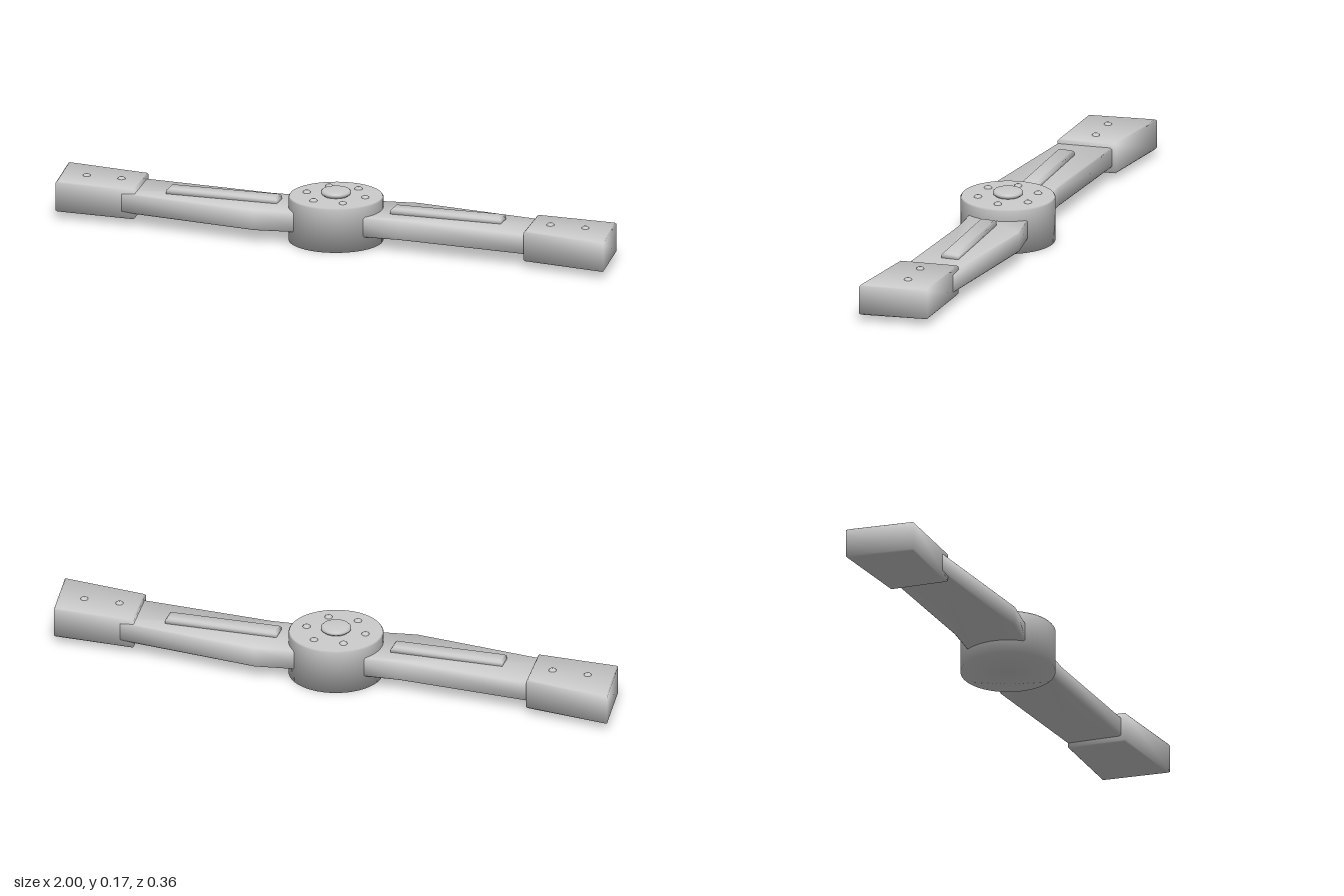
import * as THREE from 'three';
import { mergeVertices } from 'three/addons/utils/BufferGeometryUtils.js';

const steel = new THREE.MeshStandardMaterial({ color: 0xcccccc });
steel.name = 'light steel grey';

function add(parent, name, geometry, x = 0, y = 0, z = 0) {
  const mesh = new THREE.Mesh(geometry, steel);
  mesh.name = name;
  mesh.position.set(x, y, z);
  parent.add(mesh);
  return mesh;
}

// Soft shading: each vertex takes the plain average of its face normals, whatever their size
function soften(geometry) {
  const { position } = geometry.attributes;
  const index = geometry.index;
  const sums = Array.from({ length: position.count }, () => new THREE.Vector3());
  const triangle = new THREE.Triangle();
  const normal = new THREE.Vector3();
  for (let i = 0; i < index.count; i += 3) {
    const corners = [0, 1, 2].map((k) => index.getX(i + k));
    triangle.setFromAttributeAndIndices(position, ...corners);
    triangle.getNormal(normal);
    for (const c of corners) sums[c].add(normal);
  }
  const values = sums.flatMap((v) => v.normalize().toArray());
  geometry.setAttribute('normal', new THREE.Float32BufferAttribute(values, 3));
  return geometry;
}

// Bevelled plate with soft shading; outline is a list of [x, z]
function plate(outline, y0, y1, bevel) {
  const shape = new THREE.Shape(outline.map(([x, z]) => new THREE.Vector2(x, -z)));
  const g = new THREE.ExtrudeGeometry(shape, {
    depth: y1 - y0 - 2 * bevel, bevelEnabled: true, bevelSegments: 1,
    bevelSize: bevel, bevelThickness: bevel, bevelOffset: -bevel,
  });
  g.translate(0, 0, y0 + bevel).rotateX(-Math.PI / 2);
  g.deleteAttribute('uv');
  g.deleteAttribute('normal');
  return soften(mergeVertices(g, 1e-4));
}

function lathe(points, segments) {
  return new THREE.LatheGeometry(points.map(([r, y]) => new THREE.Vector2(r, y)), segments);
}

const boltGeometry = lathe([[0.013, -0.004], [0.013, 0.003], [0.008, 0.008], [0, 0.008]], 16);

function createArm() {
  const arm = new THREE.Group();

  // Blade, widest near the hub
  add(arm, 'blade', plate([
    [0.08, -0.105], [0.25, -0.128], [0.8, -0.055], [0.8, 0.13], [0.25, 0.092], [0.08, 0.1],
  ], 0.045, 0.115, 0.005));

  // Swept tip block
  add(arm, 'tip', plate([
    [0.69, -0.065], [0.972, -0.055], [1.0, 0.18], [0.705, 0.138],
  ], 0.025, 0.131, 0.005));

  // Raised rib along the blade
  add(arm, 'rib', plate([
    [0.2, -0.03], [0.59, -0.03], [0.59, 0.03], [0.2, 0.03],
  ], 0.105, 0.134, 0.007));

  // Tip bolts
  for (const x of [0.77, 0.893]) add(arm, 'tipBolt', boltGeometry, x, 0.13, 0.043);
  return arm;
}

export function createModel() {
  const model = new THREE.Group();
  model.name = 'propeller';

  // Two arms, half a turn apart
  for (let i = 0; i < 2; i++) {
    const arm = createArm();
    arm.name = i ? 'rightArm' : 'leftArm';
    arm.rotation.y = i * Math.PI;
    model.add(arm);
  }

  // Hub drum with a softened top rim
  add(model, 'hub', lathe([
    [0, 0], [0.16, 0], [0.16, 0.15], [0.156, 0.155], [0, 0.155],
  ], 48));

  // Centre cap
  add(model, 'cap', lathe([
    [0, 0.152], [0.04, 0.152], [0.046, 0.158], [0.051, 0.162], [0.051, 0.169], [0.045, 0.175], [0, 0.175],
  ], 32));

  // Ring of hub bolts
  for (let i = 0; i < 6; i++) {
    const a = i * Math.PI / 3;
    add(model, 'hubBolt', boltGeometry, 0.103 * Math.cos(a), 0.155, 0.103 * Math.sin(a));
  }
  return model;
}
